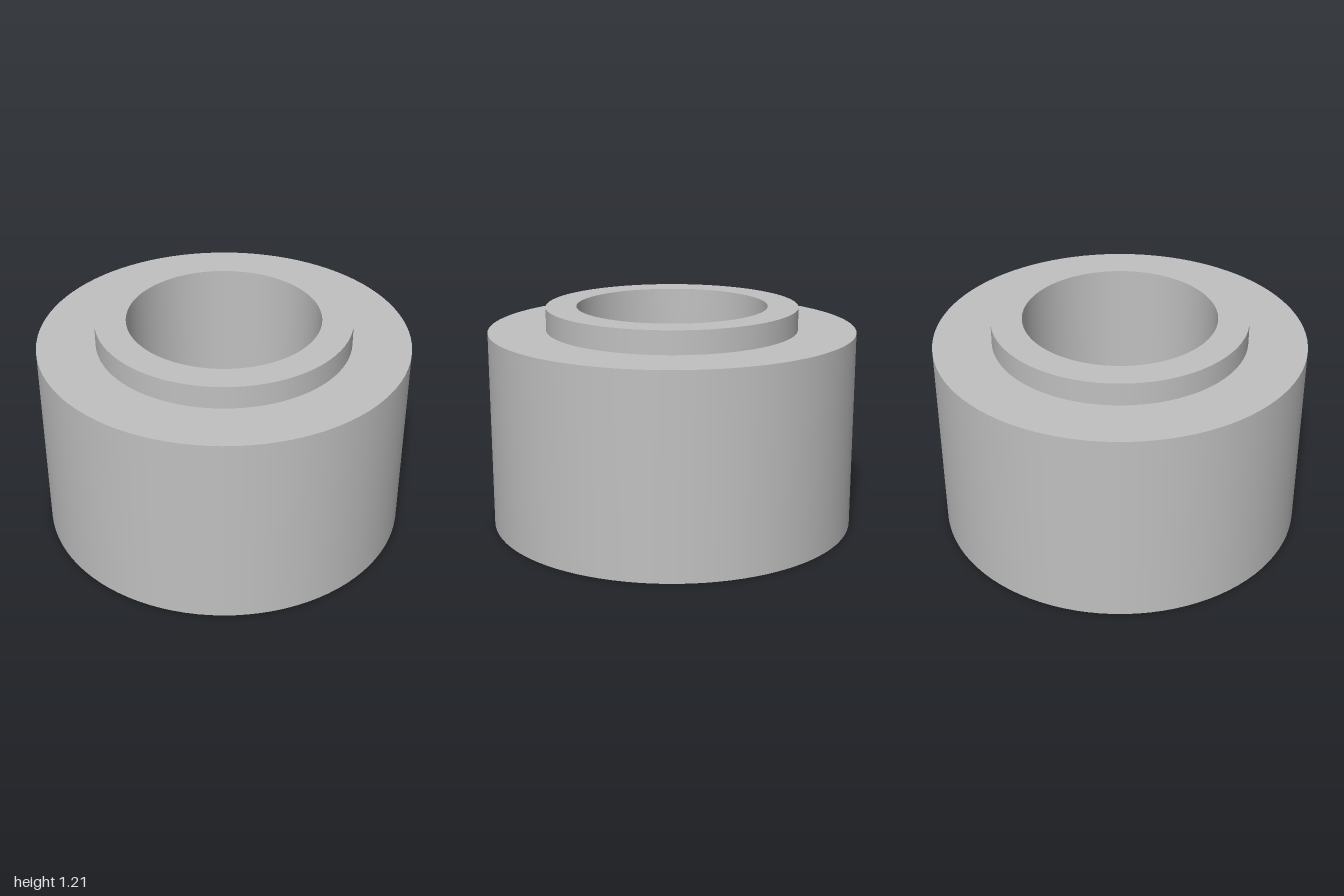
import * as THREE from 'three';
import { mergeGeometries } from 'three/addons/utils/BufferGeometryUtils.js';

const SEGMENTS = 96;
const OUTER = 1, COLLAR = 0.686, BORE = 0.52;
const SHOULDER = 1.08, TOP = 1.205;

// Revolves each profile edge on its own, so corners stay sharp and walls smooth
function turned(profile) {
  const edges = [];
  for (let i = 0; i < profile.length - 1; i++) {
    const pair = [profile[i], profile[i + 1]].map(([r, y]) => new THREE.Vector2(r, y));
    edges.push(new THREE.LatheGeometry(pair, SEGMENTS));
  }
  return mergeGeometries(edges);
}

export function createModel() {
  const group = new THREE.Group();
  group.name = 'steppedBushing';
  const metal = new THREE.MeshStandardMaterial({ color: 0xc0c0c0 });
  metal.name = 'grey metal';

  const add = (name, profile) => {
    const mesh = new THREE.Mesh(turned(profile), metal);
    mesh.name = name;
    group.add(mesh);
  };

  // Wide body: lower bore, underside, outer wall and shoulder
  add('body', [[BORE, SHOULDER], [BORE, 0], [OUTER, 0], [OUTER, SHOULDER], [COLLAR, SHOULDER]]);
  // Raised collar: outer wall, rim and upper bore
  add('collar', [[COLLAR, SHOULDER], [COLLAR, TOP], [BORE, TOP], [BORE, SHOULDER]]);

  return group;
}
